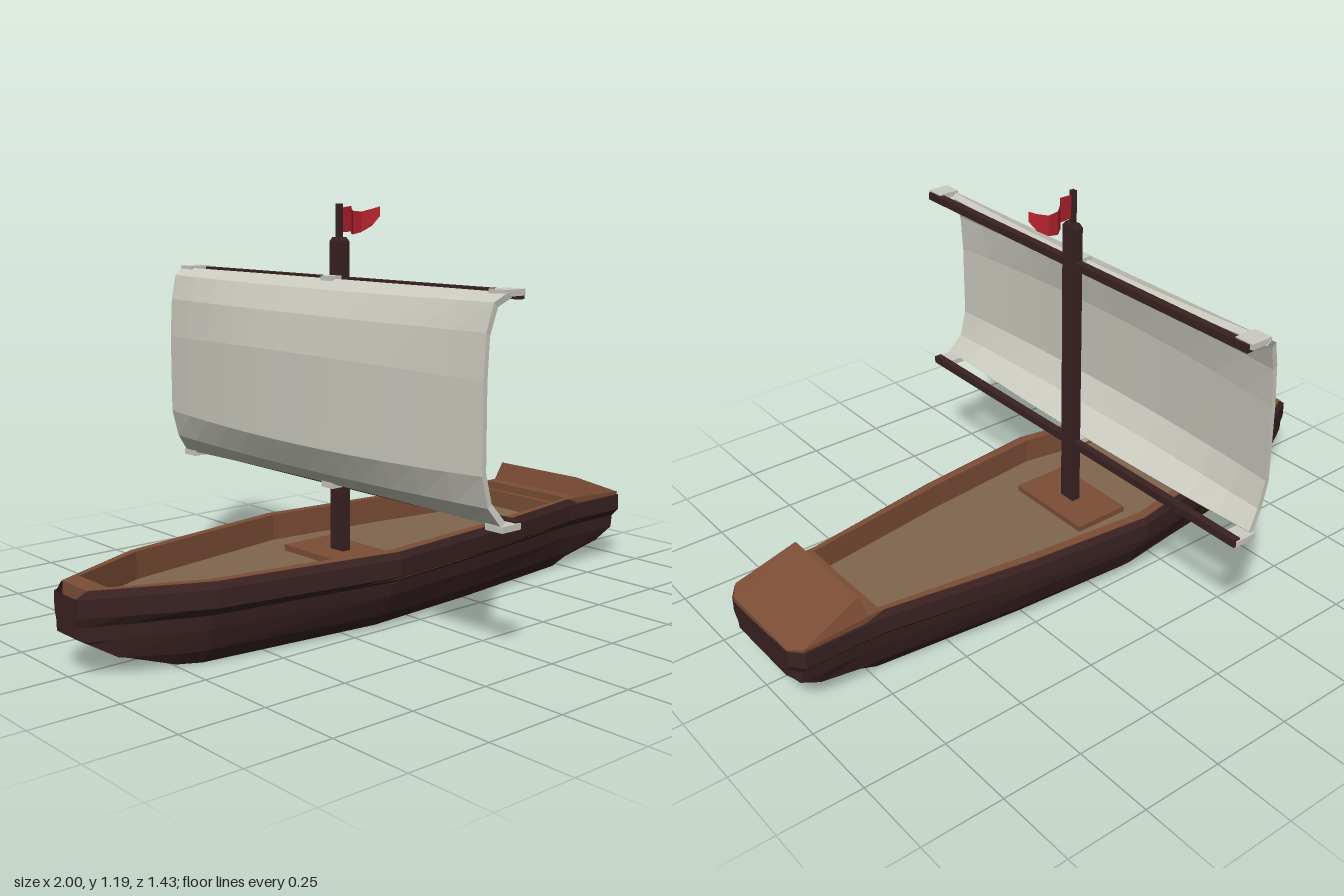
import * as THREE from 'three';
import { ConvexGeometry } from 'three/addons/geometries/ConvexGeometry.js';

const mat = (color) => new THREE.MeshStandardMaterial({ color, flatShading: true, side: THREE.DoubleSide });

// Skin a list of equal-length rings; the two ends are capped by strips
function loft(rings, closed) {
  const n = rings[0].length, pos = rings.flat(2), idx = [];
  for (let k = 0; k < rings.length - 1; k++) {
    for (let i = 0; i < (closed ? n : n - 1); i++) {
      const j = (i + 1) % n, a = k * n + i, b = k * n + j;
      idx.push(a, b, a + n, b, b + n, a + n);
    }
  }
  const end = (rings.length - 1) * n;
  for (let i = 0; i < n / 2 - 1; i++) {
    const a = i, b = i + 1, c = n - 1 - i, d = n - 2 - i;
    idx.push(a, c, b, b, c, d);
    idx.push(end + a, end + b, end + c, end + b, end + d, end + c);
  }
  const g = new THREE.BufferGeometry();
  g.setAttribute('position', new THREE.Float32BufferAttribute(pos, 3));
  g.setIndex(idx);
  g.computeVertexNormals();
  return g;
}

// Horizontal outline mirrored across the centre line, from [x, halfWidth] points
function planPoints(points) {
  const left = points.map(([x, w]) => new THREE.Vector2(x, w));
  const right = points.map(([x, w]) => new THREE.Vector2(x, -w)).reverse();
  return [...left, ...right];
}

export function createModel() {
  const model = new THREE.Group();
  const darkWood = mat(0x3a2222), brownWood = mat(0x7d4e37), floorWood = mat(0x80664f);
  const cloth = mat(0xcbcbc0), red = mat(0xb8242f);

  const add = (name, geometry, material) => {
    const mesh = new THREE.Mesh(geometry, material);
    mesh.name = name;
    model.add(mesh);
    return mesh;
  };
  const box = (name, material, x0, x1, y0, y1, z0, z1) => {
    const mesh = add(name, new THREE.BoxGeometry(x1 - x0, y1 - y0, z1 - z0), material);
    mesh.position.set((x0 + x1) / 2, (y0 + y1) / 2, (z0 + z1) / 2);
    return mesh;
  };

  // Hull stations: x, half width, keel height, rim height
  const stations = [
    [-1, 0.06, 0.11, 0.215], [-0.975, 0.074, 0.095, 0.235], [-0.9, 0.11, 0.05, 0.235],
    [-0.75, 0.182, 0.005, 0.235], [-0.68, 0.215, 0, 0.235], [-0.13, 0.313, 0, 0.235],
    [0.26, 0.273, 0, 0.235], [0.72, 0.196, 0, 0.235], [0.78, 0.193, 0.02, 0.215],
    [0.91, 0.193, 0.06, 0.215], [0.97, 0.193, 0.09, 0.215], [1, 0.152, 0.12, 0.21],
  ];
  // Section levels below the rim: height, share of the half width
  const levels = [[0.215, 1], [0.165, 1], [0.14, 0.87], [0.1, 0.85], [0.04, 0.77], [0, 0.64]];
  const hullRings = stations.map(([x, w, keel, rim]) => {
    const side = [[x, rim, w - 0.01]];
    for (const [y, s] of levels) side.push([x, Math.min(rim, Math.max(y, keel)), w * s]);
    return [...side, ...side.map(([px, py, pz]) => [px, py, -pz]).reverse()];
  });
  add('hull', loft(hullRings, false), darkWood);

  // Rim ring with its inner walls
  const inner = [[-0.92, 0.07], [-0.68, 0.178], [-0.13, 0.272], [0.26, 0.235], [0.73, 0.168]];
  const rimShape = new THREE.Shape(planPoints([
    [-0.975, 0.06], [-0.68, 0.203], [-0.13, 0.301], [0.26, 0.261], [0.72, 0.185], [0.77, 0.185],
  ]));
  rimShape.holes.push(new THREE.Path(planPoints(inner)));
  const rim = add('rim', new THREE.ExtrudeGeometry(rimShape, { depth: 0.08, bevelEnabled: false }).rotateX(Math.PI / 2), brownWood);
  rim.position.y = 0.236;

  // Deck floor and mast foot
  const floor = add('deckFloor', new THREE.ExtrudeGeometry(new THREE.Shape(planPoints(inner)),
    { depth: 0.02, bevelEnabled: false }).rotateX(Math.PI / 2), floorWood);
  floor.position.y = 0.157;
  box('mastFoot', brownWood, -0.18, 0, 0.15, 0.175, -0.15, 0.15);

  // Stern bench and sloping stern deck
  box('sternBench', brownWood, 0.715, 0.78, 0.15, 0.212, -0.17, 0.17);
  const sternPoints = [];
  for (const [x, y, z] of [[0.77, 0.18, 0.183], [0.77, 0.235, 0.185], [0.785, 0.295, 0.165],
    [0.97, 0.18, 0.183], [0.97, 0.224, 0.187], [1, 0.2, 0.145], [1, 0.215, 0.145]]) {
    sternPoints.push(new THREE.Vector3(x, y, z), new THREE.Vector3(x, y, -z));
  }
  add('sternDeck', new ConvexGeometry(sternPoints), brownWood);

  // Mast with a tapered tip, flag pole and two yards
  box('mast', darkWood, -0.103, -0.075, 0.15, 1.08, -0.028, 0.028);
  const tip = add('mastTip', new THREE.CylinderGeometry(0.7, 1, 0.012, 4, 1).rotateY(Math.PI / 4), darkWood);
  tip.scale.set(0.0198, 1, 0.0396);
  tip.position.set(-0.089, 1.086, 0);
  box('flagPole', darkWood, -0.097, -0.083, 1.08, 1.187, -0.008, 0.008);
  box('upperYard', darkWood, -0.1, -0.076, 0.957, 0.98, -0.7, 0.7);
  box('lowerYard', darkWood, -0.1, -0.076, 0.367, 0.39, -0.705, 0.705);

  // Billowing sail: side profile at the edges and at the middle
  const edge = [[-0.15, 0.978], [-0.185, 0.955], [-0.205, 0.88], [-0.212, 0.76], [-0.212, 0.52], [-0.19, 0.435], [-0.15, 0.38]];
  const middle = [[-0.125, 0.976], [-0.19, 0.95], [-0.225, 0.88], [-0.245, 0.77], [-0.25, 0.51], [-0.21, 0.43], [-0.13, 0.38]];
  const flare = [1.03, 1.01, 1, 1, 1, 1, 1.015];
  const sailRings = [];
  for (let k = 0; k <= 12; k++) {
    const s = k / 6 - 1, t = 1 - s * s;
    const outer = edge.map(([x, y], i) => [
      THREE.MathUtils.lerp(x, middle[i][0], t), THREE.MathUtils.lerp(y, middle[i][1], t), s * 0.692 * flare[i]]);
    const back = outer.map(([x, y, z]) => [x + 0.014, y + (0.68 - y) * 0.045, z]).reverse();
    sailRings.push([...outer, ...back]);
  }
  add('sail', loft(sailRings, true), cloth);

  // Cloth tabs tying the sail to the yards
  for (const [y0, y1] of [[0.967, 0.984], [0.368, 0.385]]) {
    for (const side of [-1, 1]) {
      const tab = box('sailTab', cloth, -0.155, -0.085, y0, y1, -0.03, 0.03);
      tab.position.z = side * 0.68;
    }
    box('middleSailTab', cloth, -0.14, -0.09, y0, y1, -0.025, 0.025);
  }

  // Waving flag: x, z, bottom and top heights
  const wave = [[-0.085, 0, 1.105, 1.175], [-0.035, -0.01, 1.107, 1.18], [-0.015, -0.035, 1.1, 1.175],
    [0.01, -0.055, 1.096, 1.165], [0.045, -0.058, 1.102, 1.162], [0.075, -0.045, 1.12, 1.17], [0.093, -0.03, 1.148, 1.177]];
  const flag = new THREE.PlaneGeometry(1, 1, wave.length - 1, 1);
  wave.forEach(([x, z, low, high], i) => {
    flag.attributes.position.setXYZ(i, x, high, z);
    flag.attributes.position.setXYZ(i + wave.length, x, low, z);
  });
  flag.computeVertexNormals();
  add('flag', flag, red);

  return model;
}
